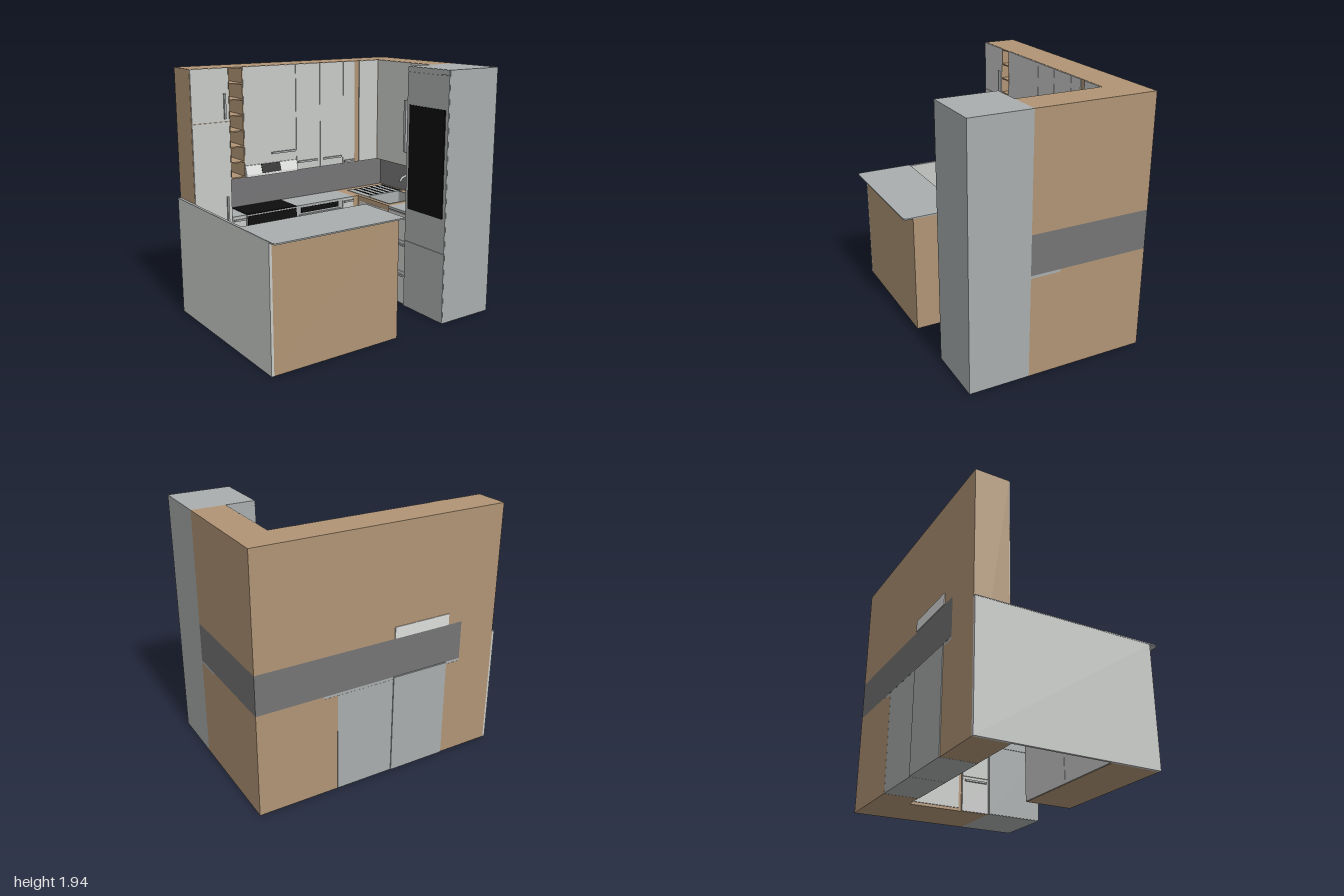
import * as THREE from 'three';

const mat = (name, color, side = THREE.FrontSide) => {
  const m = new THREE.MeshStandardMaterial({ color, side });
  m.name = name;
  return m;
};

export function createModel() {
  const root = new THREE.Group();
  root.name = 'kitchen';
  const wood = mat('wood', 0xb09475);
  const front = mat('light grey fronts', 0xc8cac8);
  const steel = mat('grey steel', 0xa9adad);
  const dark = mat('dark splashback', 0x747476);
  const black = mat('black glass', 0x0d0d0d);
  const pale = mat('pale metal', 0xdcdedc);

  const add = (name, geo, m) => {
    const mesh = new THREE.Mesh(geo, m);
    mesh.name = name;
    root.add(mesh);
    return mesh;
  };
  // Box given by its limits on each axis
  const box = (name, m, x0, x1, y0, y1, z0, z1) => {
    const mesh = add(name, new THREE.BoxGeometry(x1 - x0, y1 - y0, z1 - z0), m);
    mesh.position.set((x0 + x1) / 2, (y0 + y1) / 2, (z0 + z1) / 2);
    return mesh;
  };
  // Rounded rectangle drawn on the floor plan (shape y becomes -z)
  const plan = (x0, x1, z0, z1, rl, rr, Type = THREE.Shape) => {
    const s = new Type(), a = -z1, b = -z0;
    s.moveTo(x0 + rl, a);
    s.lineTo(x1 - rr, a);
    s.quadraticCurveTo(x1, a, x1, a + rr);
    s.lineTo(x1, b - rr);
    s.quadraticCurveTo(x1, b, x1 - rr, b);
    s.lineTo(x0 + rl, b);
    s.quadraticCurveTo(x0, b, x0, b - rl);
    s.lineTo(x0, a + rl);
    s.quadraticCurveTo(x0, a, x0 + rl, a);
    return s;
  };
  const slab = (name, m, shape, y0, y1) => {
    const geo = new THREE.ExtrudeGeometry(shape, { depth: y1 - y0, bevelEnabled: false });
    geo.rotateX(-Math.PI / 2);
    add(name, geo, m).position.y = y0;
  };
  const L = -0.73, F = -0.46, TOP = 1.94, W = 0.79, U = 1.09;
  const gap = 0.002;

  // Doors and bar handles on the left run (facing +x) and back run (facing +z)
  const sideDoor = (name, m, y0, y1, z0, z1) =>
    box(name, m, F - 0.009, F, y0 + gap, y1 - gap, z0 + gap, z1 - gap);
  const backDoor = (name, m, x0, x1, y0, y1, z) =>
    box(name, m, x0 + gap, x1 - gap, y0 + gap, y1 - gap, z - 0.009, z);
  const sideHandle = (y0, y1, z0, z1) => box('handle', steel, F, F + 0.014, y0, y1, z0, z1);
  const backHandle = (x0, x1, y0, y1, z) => box('handle', steel, x0, x1, y0, y1, z, z + 0.02);
  const C = F - 0.008;

  // Tall cabinet at the end of the left run
  box('tallCabinet', wood, L, C, 0, TOP, 0.67, 0.978);
  sideDoor('tallUpperDoor', front, 1.54, TOP, 0.67, 0.978);
  sideDoor('tallLowerDoor', front, 0, 1.54, 0.67, 0.978);
  sideHandle(1.56, 1.75, 0.7, 0.715);
  sideHandle(0.77, 0.96, 0.7, 0.715);

  // Open shelf unit
  box('shelfBack', wood, L, L + 0.015, U, TOP, 0.55, 0.67);
  box('shelfSide', wood, L, F, U, TOP, 0.55, 0.556);
  box('shelfSide', wood, L, F, U, TOP, 0.664, 0.67);
  for (let i = 0; i < 8; i++) {
    const y = U + i * 0.12;
    box('shelf', wood, L, F, y, y + 0.01, 0.556, 0.664);
  }

  // Upper cabinets on the left run
  box('upperCabinetLeft', wood, L, C, U, TOP, -1, 0.08);
  box('upperCabinetOverHood', wood, L, C, 1.18, TOP, 0.08, 0.55);
  sideDoor('hoodDoor', front, 1.18, TOP, 0.08, 0.55);
  sideDoor('upperDoor', front, U, TOP, -0.15, 0.08);
  sideDoor('upperDoor', front, U, TOP, -0.38, -0.15);
  sideDoor('upperDoor', front, U, TOP, -0.5, -0.38);
  sideDoor('cornerUpperPanel', front, U, TOP, -0.74, -0.545);
  sideHandle(1.25, 1.265, 0.1, 0.31);
  sideHandle(1.15, 1.165, -0.12, 0.07);
  sideHandle(1.15, 1.165, -0.36, -0.18);
  sideHandle(1.105, 1.12, -0.49, -0.39);

  // Upper cabinets on the back run
  box('upperCabinetBack', wood, C, 0.2, U, TOP, -1, -0.748);
  backDoor('upperBackDoor', front, F, -0.03, U + 0.005, TOP, -0.74);
  backDoor('upperBackDoor', front, -0.03, 0.2, U, TOP, -0.74);
  backHandle(-0.085, -0.06, 1.21, 1.64, -0.74);
  backHandle(-0.025, 0.18, 1.105, 1.12, -0.74);

  // Extractor hood with sloping front
  const hood = new THREE.Shape([[-0.735, 1.092], [-0.435, 1.092], [-0.435, 1.11], [-0.458, 1.18], [-0.735, 1.18]]
    .map(([x, y]) => new THREE.Vector2(x, y)));
  add('hood', new THREE.ExtrudeGeometry(hood, { depth: 0.466, bevelEnabled: false }), pale).position.z = 0.082;
  const hoodPanel = box('hoodPanel', black, -0.003, 0.003, -0.036, 0.036, 0.24, 0.41);
  hoodPanel.position.set(-0.446, 1.146, 0.325);
  hoodPanel.rotation.z = Math.atan2(0.023, 0.07);

  // Splashbacks
  box('splashbackLeft', dark, L, L + 0.01, W, U, -1, 0.67);
  box('splashbackBack', dark, L + 0.01, 0.2, W, U, -1, -0.99);

  // Cooker
  box('cookerBody', steel, -0.735, F, 0, W - 0.005, 0.082, 0.548);
  box('hob', black, L + 0.02, F, W - 0.005, W + 0.003, 0.085, 0.545);
  box('cookerControls', black, F, F + 0.008, 0.67, 0.775, 0.09, 0.54);
  box('ovenWindow', black, F, F + 0.004, 0.25, 0.54, 0.14, 0.49);
  box('ovenHandle', steel, F, F + 0.02, 0.61, 0.63, 0.12, 0.51);

  // Dishwasher
  box('dishwasher', steel, L, F - 0.006, 0, W - 0.02, -0.378, 0.08);
  box('dishwasherDoor', steel, F - 0.006, F, 0.095, 0.7, -0.37, 0.075);
  box('dishwasherPlinth', steel, F - 0.006, F, 0, 0.09, -0.37, 0.075);
  box('dishwasherLip', steel, F, F + 0.014, 0.7, 0.712, -0.355, 0.065);
  box('dishwasherPanel', black, F - 0.006, F + 0.002, 0.725, 0.77, -0.335, 0.04);

  // Narrow base cabinets on the left run
  for (const [z0, z1] of [[-0.49, -0.38], [0.55, 0.67]]) {
    box('narrowBaseCabinet', wood, L, C, 0, W - 0.02, z0, z1);
    sideDoor('narrowBaseDoor', front, 0, W - 0.01, z0, z1);
    sideHandle(0.75, 0.765, z0 + 0.01, z1 - 0.01);
  }
  box('worktopLeft', steel, L + 0.001, F, W - 0.02, W, -0.49, 0.081);
  box('worktopEnd', steel, L + 0.001, F, W - 0.02, W, 0.549, 0.67);

  // Corner and sink base with an opening for the basin
  box('cornerBase', wood, L, F, 0, W, -0.548, -0.49);
  box('sinkBase', wood, L, -0.03, 0, 0.64, -1, -0.548);
  const rim = plan(L, -0.03, -1, -0.54, 0, 0);
  rim.holes.push(plan(-0.385, -0.075, -0.93, -0.575, 0.02, 0.02, THREE.Path));
  slab('sinkWorktop', wood, rim, 0.64, W);
  const basin = plan(-0.385, -0.075, -0.93, -0.575, 0.02, 0.02);
  basin.holes.push(plan(-0.377, -0.083, -0.922, -0.583, 0.02, 0.02, THREE.Path));
  slab('sinkBasin', steel, basin, 0.64, W + 0.004);
  box('sinkFloor', steel, -0.38, -0.08, 0.635, 0.65, -0.925, -0.58);
  backDoor('sinkDoor', front, -0.435, -0.055, 0.02, 0.75, -0.538);
  backHandle(-0.135, -0.115, 0.55, 0.72, -0.538);

  // Draining board with dark grooves
  box('drainingBoard', steel, -0.66, -0.385, W, W + 0.004, -0.97, -0.575);
  for (let i = 0; i < 6; i++) {
    const z = -0.64 - i * 0.06;
    box('drainGroove', black, -0.645, -0.385, W + 0.003, W + 0.006, z - 0.011, z + 0.011);
  }

  // Tap
  const tapPath = new THREE.CatmullRomCurve3([[0.79, -0.955], [0.92, -0.955], [0.965, -0.91], [0.95, -0.83], [0.92, -0.81]]
    .map(([y, z]) => new THREE.Vector3(-0.22, y, z)));
  add('tap', new THREE.TubeGeometry(tapPath, 20, 0.011, 10), steel);
  const tapBase = add('tapBase', new THREE.CylinderGeometry(0.02, 0.022, 0.04, 16), steel);
  tapBase.position.set(-0.22, W + 0.02, -0.955);

  // Drawer unit
  box('drawerUnit', wood, -0.03, 0.2, 0, W - 0.02, -1, -0.54);
  box('drawerWorktop', steel, -0.03, 0.2, W - 0.02, W, -1, -0.53);
  for (const [y0, y1] of [[0, 0.28], [0.28, 0.54], [0.54, 0.765]]) {
    backDoor('drawer', front, -0.03, 0.2, y0, y1, -0.531);
    backHandle(-0.01, 0.18, y1 - 0.04, y1 - 0.025, -0.535);
  }

  // Tall appliance housing
  box('tallHousing', steel, 0.2, 0.66, 0, TOP, -1, -0.522);
  for (const [y0, y1] of [[0, 0.56], [0.56, 1.9], [1.9, TOP]])
    box('housingFront', steel, 0.202, 0.658, y0 + gap, y1 - gap, -0.523, -0.515);
  box('housingGlass', black, 0.235, 0.63, 0.83, 1.65, -0.516, -0.508);

  // Peninsula and counter
  box('peninsulaBody', wood, 0.275, 0.66, 0, 0.93, -0.07, 0.978);
  for (let i = 0; i < 2; i++) {
    const z = -0.07 + i * 0.524;
    box('peninsulaDoor', front, 0.267, 0.275, gap, 0.928, z + gap, z + 0.522);
  }
  box('peninsulaFrontPanel', front, L, 0.66, 0, 0.932, 0.978, 0.998);
  box('peninsulaPanelCap', steel, L, 0.27, 0.932, 0.938, 0.978, 1);
  const counter = new THREE.Shape();
  counter.moveTo(0.265, -1);
  counter.lineTo(0.7, -1);
  counter.quadraticCurveTo(0.73, -1, 0.73, -0.97);
  counter.lineTo(0.73, 0.04);
  counter.quadraticCurveTo(0.73, 0.07, 0.7, 0.07);
  counter.lineTo(0.265, 0.07);
  slab('peninsulaCounter', steel, counter, 0.93, 0.94);
  return root;
}
